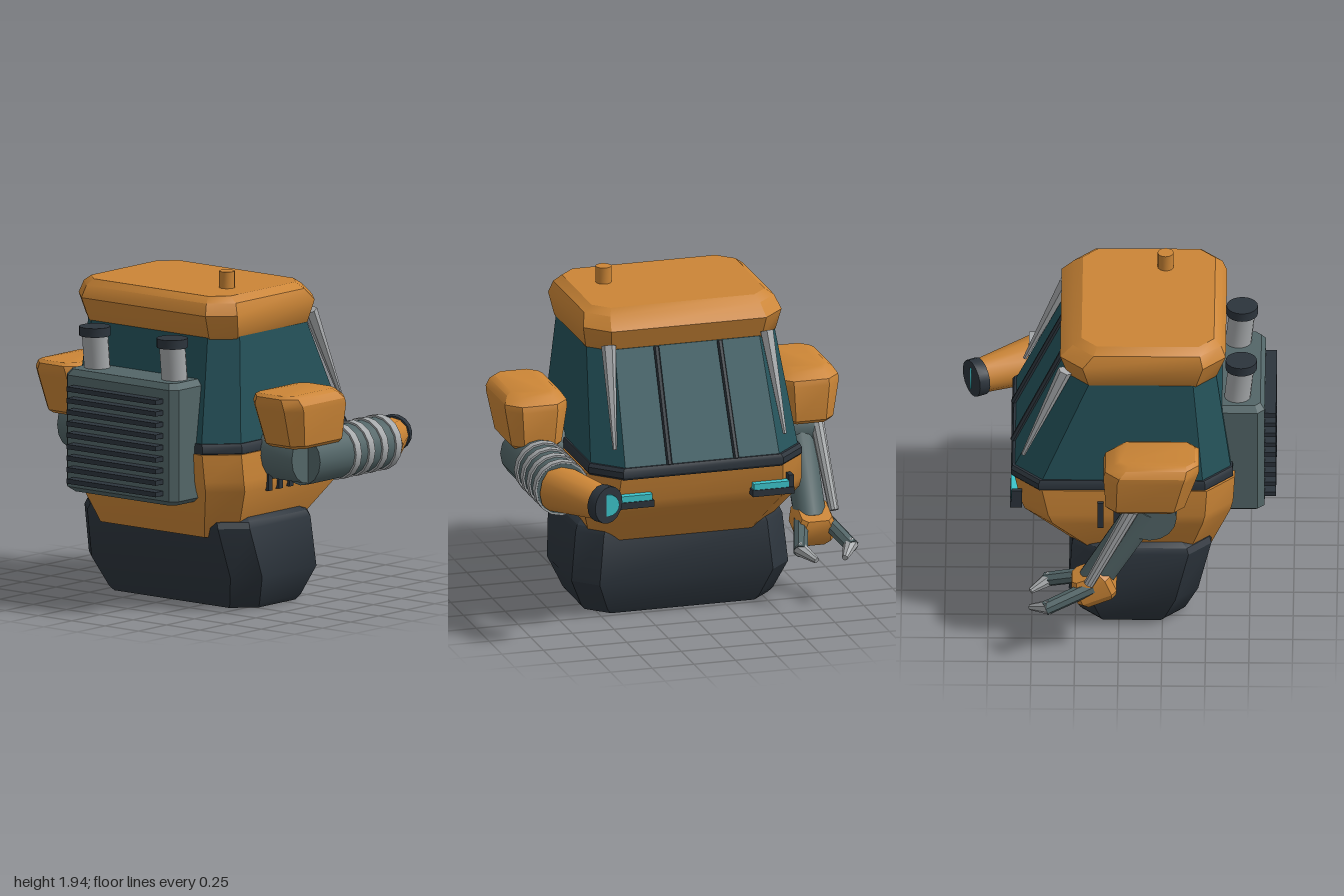
import * as THREE from 'three';
import { toCreasedNormals } from 'three/addons/utils/BufferGeometryUtils.js';

const mat = (name, color) => {
  const m = new THREE.MeshStandardMaterial({ color });
  m.name = name;
  return m;
};

export function createModel() {
  const root = new THREE.Group();
  const orange = mat('orange paint', 0xcb8536), glass = mat('teal glass', 0x24525a);
  const dark = mat('dark rubber', 0x2c343c), steel = mat('grey green steel', 0x536668);
  const light = mat('light metal', 0xa5a8aa), cyan = mat('cyan lamp', 0x3cc4cb);
  const V = (x, y, z) => new THREE.Vector3(x, y, z);

  const add = (name, geo, material, parent = root) => {
    const m = new THREE.Mesh(toCreasedNormals(geo, 0.55), material);
    m.name = name;
    parent.add(m);
    return m;
  };

  // Chamfered block from stacked octagons: rows of [y, x0, x1, z0, z1, corner]
  const loft = (rows) => {
    const pos = [], idx = [], n = rows.length;
    for (const [y, x0, x1, z0, z1, c] of rows) {
      pos.push(x1, y, z0 + c, x1, y, z1 - c, x1 - c, y, z1, x0 + c, y, z1,
        x0, y, z1 - c, x0, y, z0 + c, x0 + c, y, z0, x1 - c, y, z0);
    }
    for (let i = 0; i < n - 1; i++) {
      for (let j = 0; j < 8; j++) {
        const a = i * 8 + j, b = i * 8 + (j + 1) % 8;
        idx.push(a, a + 8, b, b, a + 8, b + 8);
      }
    }
    const t = (n - 1) * 8;
    for (let j = 1; j < 7; j++) idx.push(0, j, j + 1, t, t + j + 1, t + j);
    const g = new THREE.BufferGeometry();
    g.setAttribute('position', new THREE.Float32BufferAttribute(pos, 3));
    g.setIndex(idx);
    g.computeVertexNormals();
    return g;
  };

  // Tapered cylinder between two points
  const limb = (name, a, b, r0, r1, material, sides = 16) => {
    const d = b.clone().sub(a);
    const m = add(name, new THREE.CylinderGeometry(r1, r0, d.length(), sides), material);
    m.position.copy(a).addScaledVector(d, 0.5);
    m.quaternion.setFromUnitVectors(V(0, 1, 0), d.normalize());
    return m;
  };
  const box = (name, w, h, d, x, y, z, material) => {
    const m = add(name, new THREE.BoxGeometry(w, h, d), material);
    m.position.set(x, y, z);
    return m;
  };

  // Main stack
  add('base', loft([
    [0, -0.36, 0.21, -0.55, 0.55, 0.12], [0.03, -0.38, 0.225, -0.575, 0.575, 0.12],
    [0.2, -0.455, 0.288, -0.65, 0.65, 0.13], [0.49, -0.53, 0.27, -0.62, 0.62, 0.13],
    [0.525, -0.52, 0.255, -0.605, 0.605, 0.13], [0.55, -0.48, 0.21, -0.57, 0.57, 0.12]]), dark);
  add('lowerBody', loft([
    [0.43, -0.53, 0.25, -0.52, 0.52, 0.13], [0.48, -0.55, 0.29, -0.545, 0.545, 0.14],
    [0.72, -0.64, 0.54, -0.65, 0.65, 0.16], [0.78, -0.655, 0.565, -0.655, 0.655, 0.16],
    [0.94, -0.665, 0.6, -0.645, 0.645, 0.16]]), orange);
  add('rim', loft([
    [0.93, -0.65, 0.61, -0.63, 0.63, 0.16], [0.945, -0.655, 0.62, -0.64, 0.64, 0.16],
    [0.98, -0.655, 0.62, -0.64, 0.64, 0.16], [1.0, -0.65, 0.61, -0.63, 0.63, 0.16]]), dark);
  add('cabinGlass', loft([
    [0.99, -0.642, 0.602, -0.622, 0.622, 0.16],
    [1.62, -0.555, 0.3, -0.565, 0.565, 0.13]]), glass);
  add('roof', loft([
    [1.595, -0.55, 0.27, -0.555, 0.555, 0.11], [1.615, -0.565, 0.295, -0.57, 0.57, 0.12],
    [1.74, -0.612, 0.338, -0.595, 0.595, 0.13], [1.81, -0.585, 0.265, -0.57, 0.57, 0.12],
    [1.845, -0.545, 0.215, -0.52, 0.52, 0.09]]), orange);
  limb('roofPipe', V(-0.26, 1.83, 0.33), V(-0.26, 1.942, 0.33), 0.046, 0.046, orange);

  // Windscreen bars, roof struts, headlights, vents and shoulders on both sides
  for (const s of [1, -1]) {
    limb('windscreenBar', V(0.315, 1.62, s * 0.19), V(0.612, 1, s * 0.2), 0.017, 0.017, dark, 6);
    limb('roofStrut', V(0.31, 1.65, s * 0.475), V(0.55, 1.1, s * 0.51), 0.042, 0.012, light, 6);
    box('headlightTray', 0.07, 0.04, 0.25, 0.59, 0.78, s * 0.42, dark);
    box('headlightPost', 0.06, 0.1, 0.028, 0.585, 0.82, s * 0.53, dark);
    box('headlight', 0.05, 0.036, 0.21, 0.595, 0.818, s * 0.41, cyan);
    for (let i = 0; i < 5; i++) {
      box('sideVent', 0.036, 0.17, 0.03, -0.27 + i * 0.0935, 0.785, s * 0.652, dark);
    }
    const c = s * 0.815, w = 0.185;
    add('shoulderPad', loft([
      [0.98, -0.35, 0.055, c - 0.13, c + 0.13, 0.05], [1.0, -0.38, 0.072, c - 0.15, c + 0.15, 0.06],
      [1.21, -0.45, 0.086, c - w, c + w, 0.08], [1.245, -0.462, 0.075, c - w, c + w, 0.08],
      [1.285, -0.462, 0.025, c - 0.16, c + 0.16, 0.07],
      [1.302, -0.44, -0.01, c - 0.13, c + 0.13, 0.05]]), orange);
    limb('shoulderJoint', V(-0.18, 0.91, s * 0.6), V(-0.18, 0.91, s * 0.88), 0.155, 0.155, steel);
    limb('exhaustPipe', V(-0.675, 1.33, s * 0.29), V(-0.7, 1.57, s * 0.29), 0.075, 0.075, light);
    limb('exhaustCap', V(-0.7, 1.555, s * 0.29), V(-0.7, 1.608, s * 0.29), 0.09, 0.09, dark, 20);
  }

  // Engine pack with cooling fins
  add('enginePack', loft([
    [0.65, -0.8, -0.5, -0.38, 0.38, 0.03], [0.68, -0.835, -0.5, -0.42, 0.42, 0.04],
    [1.33, -0.835, -0.5, -0.42, 0.42, 0.04], [1.365, -0.81, -0.5, -0.39, 0.39, 0.03]]), steel);
  for (let i = 0; i < 9; i++) {
    box('coolingFin', 0.09, 0.028, 0.67, -0.855, 0.725 + i * 0.0672, 0, dark);
  }

  // Cannon arm
  limb('cannonSleeve', V(-0.19, 0.89, 0.82), V(0.53, 0.89, 0.82), 0.152, 0.152, steel);
  for (let i = 0; i < 4; i++) {
    const x = 0.143 + i * 0.12;
    limb('sleeveRing', V(x - 0.025, 0.89, 0.82), V(x + 0.025, 0.89, 0.82), 0.163, 0.163, light);
  }
  limb('cannonNozzle', V(0.49, 0.885, 0.84), V(0.82, 0.875, 0.66), 0.14, 0.098, orange, 12);
  limb('muzzle', V(0.8, 0.875, 0.67), V(0.857, 0.875, 0.64), 0.11, 0.11, dark);
  limb('muzzleLamp', V(0.858, 0.875, 0.645), V(0.866, 0.875, 0.645), 0.066, 0.066, cyan);

  // Claw arm
  limb('clawArm', V(-0.16, 0.93, -0.79), V(0.14, 0.43, -0.79), 0.1, 0.095, steel, 12);
  limb('clawPiston', V(-0.08, 0.97, -0.89), V(0.17, 0.48, -0.92), 0.042, 0.03, light, 10);
  const wrist = add('wrist', loft([
    [-0.09, -0.1, 0.1, -0.085, 0.085, 0.03], [-0.05, -0.12, 0.12, -0.11, 0.11, 0.03],
    [0.05, -0.12, 0.12, -0.11, 0.11, 0.03], [0.09, -0.1, 0.1, -0.09, 0.09, 0.03]]), orange);
  wrist.position.set(0.14, 0.41, -0.8);
  wrist.rotation.z = -0.4;
  for (const s of [1, -1]) {
    const z = (d) => -0.8 + s * d;
    limb('clawFinger', V(0.15, 0.43, z(0.07)), V(0.42, 0.335, z(0.155)), 0.045, 0.042, steel, 8);
    limb('clawTip', V(0.39, 0.345, z(0.155)), V(0.505, 0.3, z(0.085)), 0.045, 0.018, light, 8);
  }
  return root;
}
